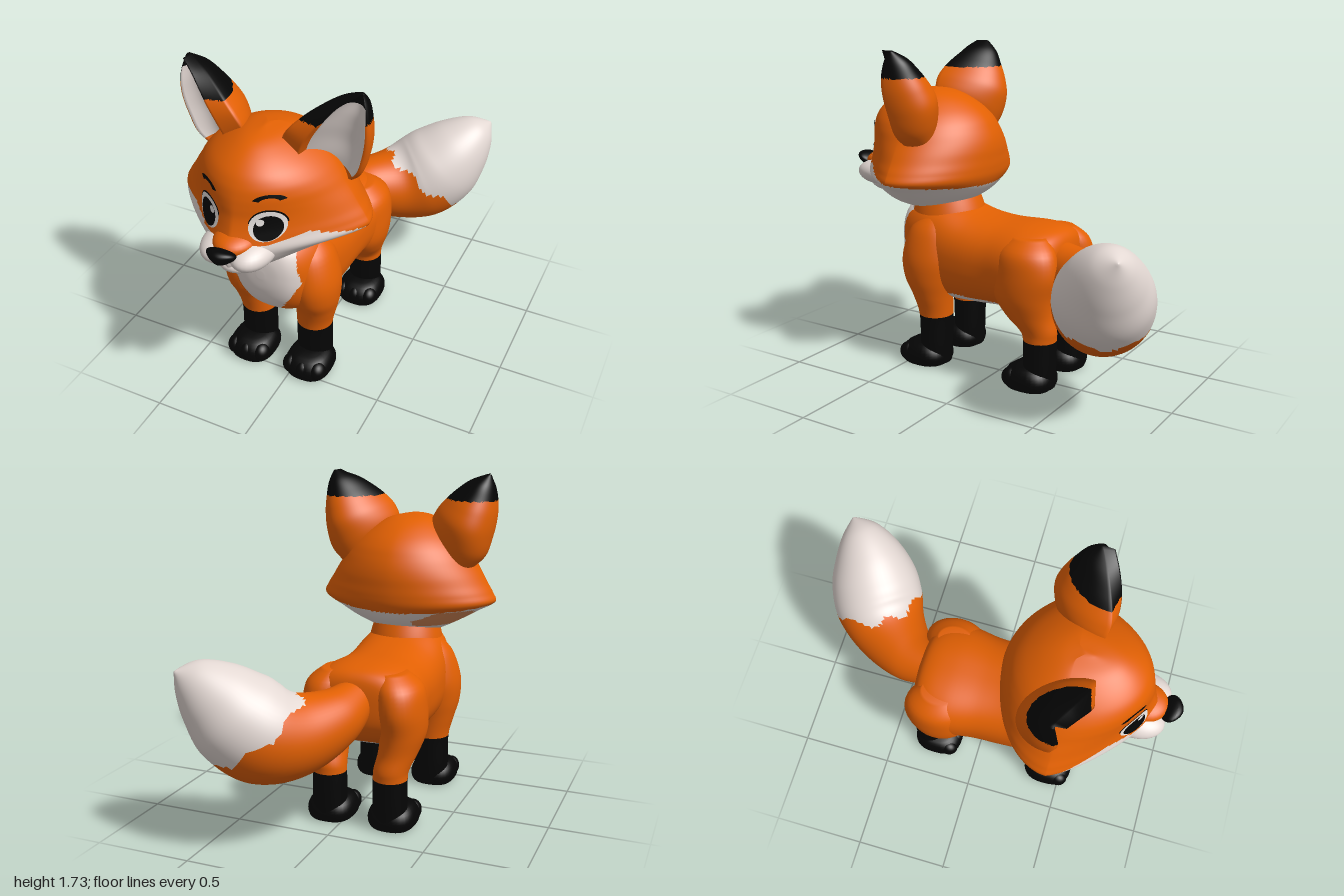
import * as THREE from 'three';

const mat = (name, color) => Object.assign(new THREE.MeshStandardMaterial({ color }), { name });
const V = (x, y, z) => new THREE.Vector3(x, y, z);
const lerp = THREE.MathUtils.lerp;
const clamp01 = (t) => Math.min(1, Math.max(0, t));

// Smooth interpolation of a table row at index position t
function rowAt(rows, t) {
  const i = Math.min(Math.floor(t), rows.length - 2), f = t - i;
  const r = (k) => rows[Math.min(rows.length - 1, Math.max(0, k))];
  const [a, b, c, d] = [r(i - 1), r(i), r(i + 1), r(i + 2)];
  return b.map((p, k) => p + 0.5 * f * (c[k] - a[k] + f * (2 * a[k] - 5 * p + 4 * c[k] - d[k]
    + f * (3 * (p - c[k]) + d[k] - a[k]))));
}

// Closed skin over cross-sections; ring(row, u, i, all) gives a point, pick(centroid, u, v) a material index
function loft(name, rows, sub, n, ring, mats, pick = () => 0) {
  const all = [], pts = [], lists = mats.map(() => []);
  const count = (rows.length - 1) * sub;
  for (let i = 0; i <= count; i++) all.push(rowAt(rows, i / sub));
  all.forEach((row, i) => { for (let k = 0; k < n; k++) pts.push(ring(row, k / n, i, all)); });
  const tris = [];
  for (let i = 0; i < count; i++) for (let k = 0; k < n; k++) {
    const a = i * n + k, b = i * n + (k + 1) % n, u = (k + 0.5) / n, v = (i + 0.5) / count;
    tris.push([a, b, a + n, u, v], [b, b + n, a + n, u, v]);
  }
  for (const [start, v] of [[0, 0], [count * n, 1]]) {
    const mid = V(0, 0, 0);
    for (let k = 0; k < n; k++) mid.addScaledVector(pts[start + k], 1 / n);
    const m = pts.push(mid) - 1;
    for (let k = 0; k < n; k++) {
      const a = start + k, b = start + (k + 1) % n;
      tris.push(v ? [a, b, m, 0, 1] : [b, a, m, 0, 0]);
    }
  }
  let volume = 0;
  for (const [a, b, c] of tris) volume += pts[a].dot(pts[b].clone().cross(pts[c]));
  for (const [a, b, c, u, v] of tris) {
    const mid = V(0, 0, 0).add(pts[a]).add(pts[b]).add(pts[c]).divideScalar(3);
    lists[pick(mid, u, v)].push(...(volume > 0 ? [a, b, c] : [a, c, b]));
  }
  const geo = new THREE.BufferGeometry().setFromPoints(pts);
  geo.setIndex(lists.flat());
  let start = 0;
  lists.forEach((l, i) => { geo.addGroup(start, l.length, i); start += l.length; });
  geo.computeVertexNormals();
  const mesh = new THREE.Mesh(geo, mats.length > 1 ? mats : mats[0]);
  mesh.name = name;
  return mesh;
}

function ball(name, m, c, r) {
  const mesh = new THREE.Mesh(new THREE.SphereGeometry(1, 32, 20).scale(...r).translate(...c), m);
  mesh.name = name;
  return mesh;
}

const power = (v, p) => Math.sign(v) * Math.abs(v) ** (2 / p);

// Head levels: y, half width, back z, front z, front roundness
const HEAD = [
  [0.84, 0.03, 0.48, 0.6, 1.8], [0.86, 0.13, 0.37, 0.74, 1.6], [0.9, 0.22, 0.26, 0.83, 1.42],
  [0.95, 0.315, 0.17, 0.885, 1.3], [1.0, 0.4, 0.12, 0.9, 1.28], [1.05, 0.487, 0.095, 0.89, 1.28],
  [1.1, 0.472, 0.088, 0.87, 1.32], [1.15, 0.44, 0.088, 0.85, 1.39], [1.2, 0.41, 0.09, 0.835, 1.48],
  [1.25, 0.377, 0.1, 0.828, 1.6], [1.3, 0.345, 0.12, 0.818, 1.75], [1.35, 0.305, 0.15, 0.8, 1.9],
  [1.4, 0.25, 0.2, 0.765, 2], [1.45, 0.175, 0.275, 0.7, 2], [1.485, 0.1, 0.36, 0.62, 2], [1.503, 0.01, 0.46, 0.5, 2]];
const HZ = 0.43;

function headZ(x, y) {
  let lo = 0, hi = HEAD.length - 1;
  for (let i = 0; i < 30; i++) {
    const m = (lo + hi) / 2;
    if (rowAt(HEAD, m)[0] < y) lo = m; else hi = m;
  }
  const [, w, , zf, p] = rowAt(HEAD, lo);
  return HZ + (zf - HZ) * (1 - Math.min(1, Math.abs(x) / w) ** p) ** (1 / p);
}

// Thin painted patch that follows the face
function patch(name, m, cx, cy, rx, ry, lift, inner = 0, from = 0, arc = Math.PI * 2) {
  const geo = new THREE.RingGeometry(inner, 1, 32, 5, from, arc), p = geo.attributes.position;
  for (let i = 0; i < p.count; i++) {
    const x = cx + p.getX(i) * rx, y = cy + p.getY(i) * ry;
    p.setXYZ(i, x, y, headZ(x, y) + lift);
  }
  geo.computeVertexNormals();
  const mesh = new THREE.Mesh(geo, m);
  mesh.name = name;
  return mesh;
}

export function createModel() {
  const orange = mat('orange fur', 0xe26003), white = mat('pale fur', 0xe3d8d3);
  const black = mat('black', 0x050505), eyeWhite = mat('eye white', 0xe9e4e1);
  const blend = mat('blended fur', 0xd98a58);
  const root = new THREE.Group(), fox = new THREE.Group();
  root.name = 'fox';
  fox.name = 'foxBody';
  fox.position.x = -0.088;
  root.add(fox);

  // Head with pale cheeks and jaw, and a blended patch under the right cheek
  fox.add(loft('head', HEAD, 6, 88, ([y, w, zb, zf, p], u) => {
    const c = Math.cos(u * Math.PI * 2), s = Math.sin(u * Math.PI * 2), q = s > 0 ? p : 1.85;
    const mid = Math.max(zb, Math.min(zf, HZ + Math.max(0, 0.9 - y)));
    return V(w * power(c, q), y, mid + (s > 0 ? zf - mid : mid - zb) * power(s, q));
  }, [orange, white, blend], (c) => {
    const ax = Math.abs(c.x);
    const edge = c.z < HZ ? lerp(1.05, 1.01, (HZ - c.z) / 0.34)
      : ax > 0.29 ? lerp(1.115, 1.05, (ax - 0.29) / 0.2) : lerp(1.075, 1.115, clamp01((ax - 0.16) / 0.13));
    if (c.x < -0.1 && c.z > 0.17 && c.z < 0.55 && c.y > 0.925 && c.y < lerp(1.02, 0.95, clamp01((c.z - 0.3) / 0.25))) return 2;
    return c.y < edge ? 1 : 0;
  }));

  // Muzzle and wedge-shaped nose
  fox.add(ball('noseBridge', orange, [0, 1.07, 0.8], [0.105, 0.056, 0.125]));
  fox.add(ball('chin', white, [0, 0.953, 0.77], [0.11, 0.055, 0.125]));
  const nose = ball('nose', black, [0, 0, 0], [0.067, 0.047, 0.05]);
  const np = nose.geometry.attributes.position;
  for (let i = 0; i < np.count; i++) {
    const x = np.getX(i), y = np.getY(i), z = np.getZ(i);
    np.setXYZ(i, x * (0.95 + y * 9) * (1 - 7 * z), y, z + y * 0.5);
  }
  nose.geometry.computeVertexNormals();
  nose.position.set(0, 1.06, 0.943);
  fox.add(nose);

  // Ear sections: outer edge xyz, inner edge xyz, depth of the back
  const EAR = [
    [0.35, 1.22, 0.38, 0.12, 1.37, 0.49, 0.14], [0.43, 1.295, 0.405, 0.1, 1.46, 0.53, 0.205],
    [0.465, 1.4, 0.42, 0.13, 1.53, 0.545, 0.235], [0.482, 1.5, 0.435, 0.18, 1.585, 0.535, 0.215],
    [0.482, 1.585, 0.44, 0.24, 1.635, 0.51, 0.17], [0.47, 1.66, 0.43, 0.325, 1.69, 0.47, 0.105],
    [0.445, 1.722, 0.415, 0.425, 1.725, 0.42, 0.01]];
  // Legs: y, x, z, x radius, z radius
  const FRONT = [
    [0.84, 0.145, 0.37, 0.05, 0.06], [0.76, 0.165, 0.375, 0.1, 0.13], [0.62, 0.185, 0.385, 0.125, 0.155],
    [0.5, 0.19, 0.385, 0.12, 0.14], [0.4, 0.18, 0.37, 0.107, 0.11], [0.285, 0.165, 0.36, 0.095, 0.092],
    [0.12, 0.165, 0.36, 0.095, 0.085], [0.01, 0.165, 0.36, 0.09, 0.075]];
  const BACK = [
    [0.8, 0.15, -0.22, 0.07, 0.09], [0.73, 0.185, -0.225, 0.115, 0.155], [0.62, 0.202, -0.225, 0.12, 0.175],
    [0.5, 0.205, -0.215, 0.115, 0.16], [0.4, 0.19, -0.24, 0.1, 0.13], [0.32, 0.17, -0.285, 0.09, 0.1],
    [0.265, 0.165, -0.295, 0.088, 0.088], [0.12, 0.165, -0.295, 0.09, 0.085], [0.01, 0.165, -0.3, 0.09, 0.075]];

  for (const [side, label] of [[1, 'left'], [-1, 'right']]) {
    const add = (mesh) => fox.add(mesh);
    add(ball(label + 'MuzzleLobe', white, [side * 0.077, 1.015, 0.785], [0.1, 0.07, 0.148]));

    // Cupped ear with pale dish and black tip
    const across = (u) => (-1 + (u - 0.5) * 4 - 0.24) / 0.65;
    add(loft(label + 'Ear', EAR, 7, 72, ([ox, oy, oz, ix, iy, iz, d], u) => {
      const s = u < 0.5 ? Math.cos(u * Math.PI * 2) : -1 + (u - 0.5) * 4, w = across(u);
      const z = u < 0.5 ? -d * Math.sin(u * Math.PI * 2)
        : Math.abs(w) < 1 ? 0.012 - 0.35 * d * (1 - w * w) : 0.1 * (1 - Math.abs(s));
      return V(side * ((ox + ix) / 2 + s * (ox - ix) / 2), (oy + iy) / 2 + s * (oy - iy) / 2, (oz + iz) / 2 + s * (oz - iz) / 2 + z);
    }, [orange, white, black], (c, u, v) =>
      u > 0.5 && Math.abs(across(u)) < 1 && v > 0.12 && v < 0.84 ? 1 : c.y > 1.59 ? 2 : 0));

    // Eye and brow
    add(patch(label + 'EyeLash', black, side * 0.15, 1.17, 0.078, 0.079, 0.003, 0.85, 0.15, Math.PI - 0.3));
    add(patch(label + 'EyeWhite', eyeWhite, side * 0.15, 1.168, 0.074, 0.074, 0.005));
    add(patch(label + 'Pupil', black, side * 0.154, 1.159, 0.057, 0.061, 0.007));
    add(patch(label + 'EyeGlint', eyeWhite, side * 0.123, 1.189, 0.016, 0.017, 0.009));
    add(patch(label + 'Brow', black, side * 0.155, 1.285, 0.068, 0.04, 0.006, 0.6, 0.35, Math.PI - 0.7));

    // Legs, paws and toes
    for (const [rows, name, sock, pz] of [[FRONT, 'Front', 0.285, 0.422], [BACK, 'Back', 0.265, -0.242]]) {
      add(loft(label + name + 'Leg', rows, 5, 32, ([y, x, z, rx, rz], u) =>
        V(side * (x + rx * Math.cos(u * Math.PI * 2)), y, z + rz * Math.sin(u * Math.PI * 2)),
      [orange, black], (c) => (c.y < sock ? 1 : 0)));
      const paw = [[0, 0.105, 0.118], [0.015, 0.118, 0.13], [0.05, 0.126, 0.136], [0.09, 0.115, 0.122], [0.12, 0.085, 0.085], [0.13, 0.03, 0.03]];
      add(loft(label + name + 'Paw', paw, 3, 32, ([y, rx, rz], u) => V(side * 0.167 + rx * power(Math.cos(u * Math.PI * 2), 2.6),
        y, pz + rz * power(Math.sin(u * Math.PI * 2), 2.6)), [black]));
      for (const k of [-1, 0, 1]) add(ball(label + name + 'Toe', black,
        [side * 0.167 + k * 0.075, 0.058, pz + 0.085 - Math.abs(k) * 0.012], [0.046, 0.054, 0.053]));
    }
  }

  // Torso: z, top, bottom, half width; the chest bib narrows towards the belly
  const coat = (c) => {
    const bib = c.y > 0.67 ? lerp(0.19, 0.15, clamp01((c.y - 0.67) / 0.2)) : lerp(0.065, 0.19, clamp01((c.y - 0.46) / 0.21));
    return (c.z > 0.47 && Math.abs(c.x) < bib) || c.y < 0.43 ? 1 : 0;
  };
  const TORSO = [
    [-0.375, 0.7, 0.6, 0.03], [-0.355, 0.78, 0.52, 0.18], [-0.3, 0.82, 0.45, 0.265], [-0.18, 0.837, 0.395, 0.302],
    [0, 0.837, 0.375, 0.278], [0.15, 0.855, 0.365, 0.272], [0.3, 0.9, 0.362, 0.265], [0.42, 0.92, 0.385, 0.245],
    [0.52, 0.9, 0.44, 0.205], [0.58, 0.87, 0.52, 0.155], [0.608, 0.81, 0.61, 0.095], [0.617, 0.735, 0.69, 0.02]];
  fox.add(loft('torso', TORSO, 7, 96, ([z, t, b, w], u) => V(w * power(Math.cos(u * Math.PI * 2), 2.4),
    (t + b) / 2 + (t - b) / 2 * power(Math.sin(u * Math.PI * 2), 2.4), z), [orange, white], coat));

  // Neck: y, z, x radius, z radius
  const NECK = [[0.6, 0.36, 0.17, 0.16], [0.72, 0.365, 0.21, 0.19], [0.83, 0.38, 0.2, 0.205], [0.95, 0.39, 0.17, 0.17]];
  fox.add(loft('neck', NECK, 6, 64, ([y, z, rx, rz], u) =>
    V(rx * Math.cos(u * Math.PI * 2), y, z + rz * Math.sin(u * Math.PI * 2)), [orange, white], coat));

  // Bushy tail with a pale ragged end: x, y, z, radius
  const TAIL = [
    [-0.07, 0.665, -0.3, 0.105], [-0.03, 0.61, -0.44, 0.145], [0.09, 0.56, -0.6, 0.2], [0.225, 0.58, -0.715, 0.245],
    [0.345, 0.675, -0.785, 0.236], [0.435, 0.785, -0.84, 0.18], [0.51, 0.867, -0.9, 0.1], [0.555, 0.905, -0.945, 0.006]];
  root.add(loft('tail', TAIL, 8, 56, (row, u, i, all) => {
    const a = all[Math.max(0, i - 8)], b = all[Math.min(all.length - 1, i + 8)];
    const t = V(b[0] - a[0], b[1] - a[1], b[2] - a[2]).normalize();
    const s = V(0, 1, 0).cross(t).normalize(), up = t.clone().cross(s);
    const r = Math.max(0.004, row[3]), ang = u * Math.PI * 2;
    return V(row[0], row[1], row[2]).addScaledVector(s, r * Math.cos(ang)).addScaledVector(up, r * Math.sin(ang));
  }, [orange, white], (c, u) =>
    (0.45 * c.x + 0.75 * c.y - 0.3 * c.z + 0.018 * Math.sin(u * 44) > 0.785 ? 1 : 0)));

  return root;
}
